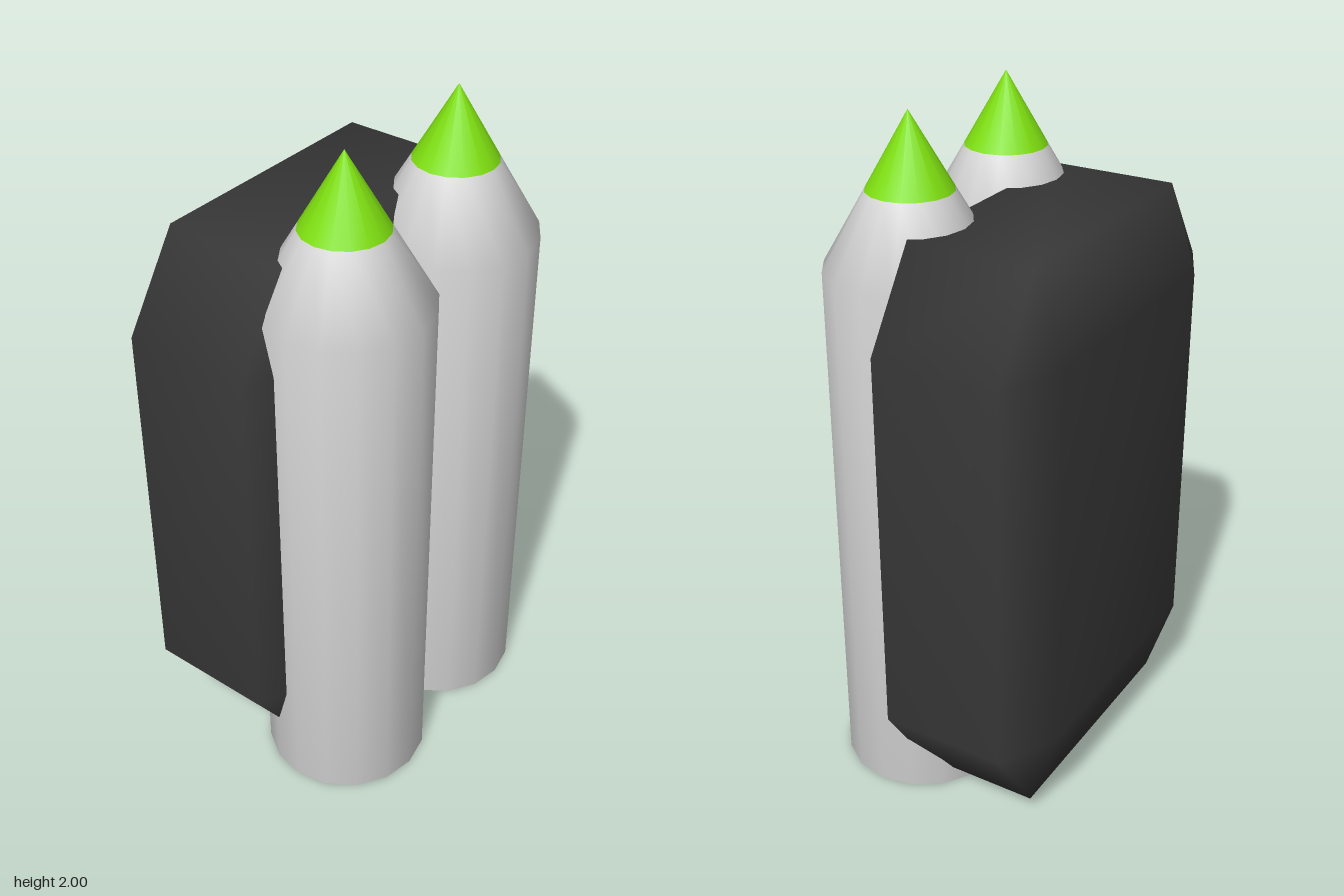
import * as THREE from 'three';
import { mergeVertices } from 'three/addons/utils/BufferGeometryUtils.js';
import { ConvexGeometry } from 'three/addons/geometries/ConvexGeometry.js';

const material = (name, color) => {
  const m = new THREE.MeshStandardMaterial({ color });
  m.name = name;
  return m;
};

// Bevelled block: each corner is cut back to three points, shaded smoothly.
function bevelledBlock(hx, hy, hz, bevel) {
  const half = [hx, hy, hz];
  const points = [];
  for (const sx of [-1, 1]) for (const sy of [-1, 1]) for (const sz of [-1, 1]) {
    for (let axis = 0; axis < 3; axis++) {
      const p = [sx, sy, sz].map((s, i) => s * half[i] * (i === axis ? 1 : 1 - bevel));
      points.push(new THREE.Vector3(...p));
    }
  }
  const raw = new ConvexGeometry(points);
  raw.deleteAttribute('normal');
  const geometry = mergeVertices(raw, 1e-4);
  geometry.computeVertexNormals();
  return geometry;
}

const lathe = (profile) =>
  new THREE.LatheGeometry(profile.map(([r, y]) => new THREE.Vector2(r, y)), 16);

export function createModel() {
  const model = new THREE.Group();
  const dark = material('charcoal', 0x383838);
  const grey = material('light grey', 0xd8d8d8);
  const green = material('lime green', 0x7fe010);

  const add = (parent, name, geometry, mat) => {
    const mesh = new THREE.Mesh(geometry, mat);
    mesh.name = name;
    parent.add(mesh);
    return mesh;
  };

  // Back block
  add(model, 'block', bevelledBlock(0.2725, 0.83, 0.56, 0.313), dark).position.set(-0.1225, 0.88, 0);

  // Two pointed tubes with coloured tips
  const tubeShape = lathe([[0, 0], [0.243, 0], [0.243, 1.58], [0.121, 1.79]]);
  const tipShape = lathe([[0.121, 1.79], [0, 2]]);
  for (const [name, z] of [['leftTube', 0.244], ['rightTube', -0.241]]) {
    const tube = new THREE.Group();
    tube.name = name;
    tube.position.set(0.15, 0, z);
    add(tube, 'tubeBody', tubeShape, grey);
    add(tube, 'tubeTip', tipShape, green);
    model.add(tube);
  }
  return model;
}
